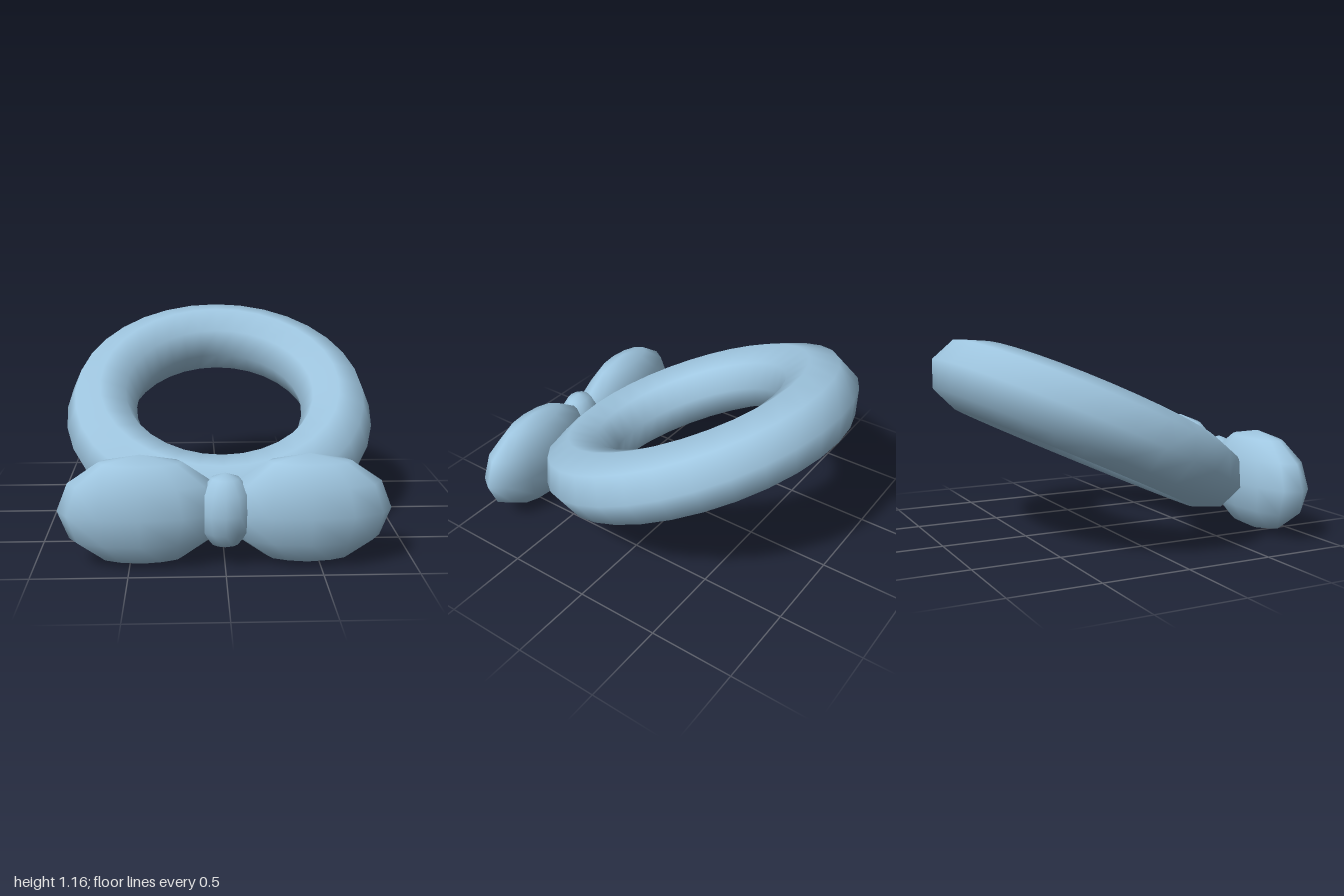
import * as THREE from 'three';

export function createModel() {
  const group = new THREE.Group();
  const blue = new THREE.MeshStandardMaterial({ color: 0x9fc6e0 });
  blue.name = 'light blue';

  const add = (name, geometry, x, y, z) => {
    const mesh = new THREE.Mesh(geometry, blue);
    mesh.name = name;
    mesh.position.set(x, y, z);
    group.add(mesh);
  };
  // Low-poly ellipsoid with smooth normals
  const ellipsoid = (rx, ry, rz) => new THREE.SphereGeometry(1, 12, 6).scale(rx, ry, rz);

  // Slightly oval collar ring, its back tilted up
  const ring = new THREE.TorusGeometry(0.71, 0.21, 8, 32)
    .scale(1, 1.085, 1)
    .rotateX(Math.PI / 2 + THREE.MathUtils.degToRad(25));
  add('collarRing', ring, 0, 0.63, -0.095);

  // Bow: two mirrored lobes meeting at the knot
  for (const [name, side] of [['leftBowLobe', 1], ['rightBowLobe', -1]]) {
    add(name, ellipsoid(0.435, 0.3, 0.174), side * 0.437, 0.303, 0.825);
  }
  add('bowKnot', ellipsoid(0.15, 0.205, 0.128), 0, 0.305, 0.85);

  return group;
}
